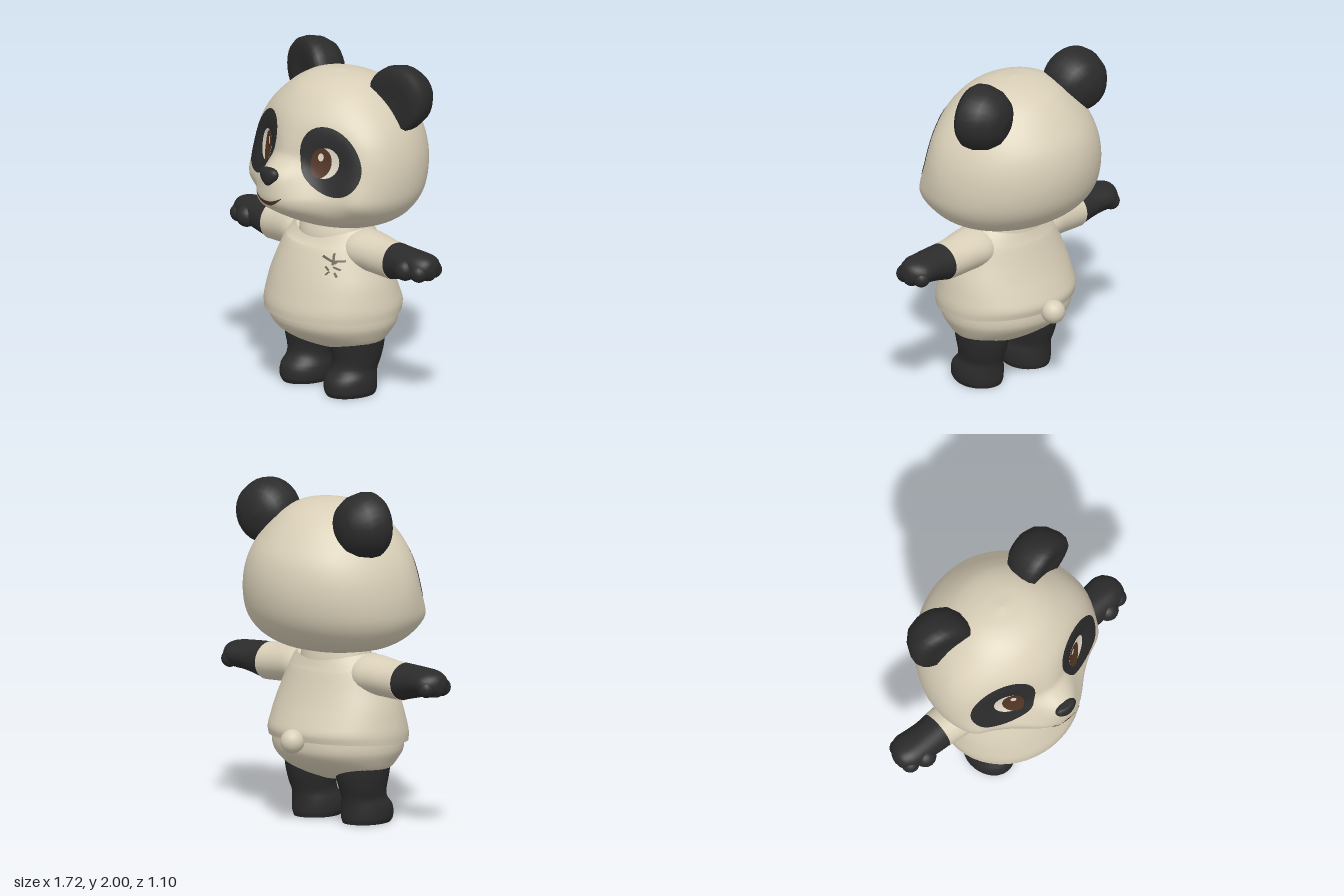
import * as THREE from 'three';

const material = (name, color, side = THREE.FrontSide) => {
  const m = new THREE.MeshStandardMaterial({ color, side });
  m.name = name;
  return m;
};

// Section rows: [position, centre, half width, z middle, z front, z back]
const HEAD = [
  [1.015, 0, 0.2, -0.02, 0.13, -0.19], [1.04, 0, 0.33, -0.02, 0.235, -0.29], [1.09, 0, 0.44, -0.02, 0.335, -0.385],
  [1.15, 0, 0.505, -0.01, 0.385, -0.455], [1.22, 0, 0.545, 0, 0.408, -0.505], [1.3, 0, 0.558, 0, 0.412, -0.535],
  [1.4, 0, 0.556, 0, 0.41, -0.55], [1.5, 0, 0.538, 0, 0.395, -0.545], [1.6, 0, 0.5, 0, 0.363, -0.517],
  [1.7, 0, 0.435, -0.02, 0.315, -0.455], [1.8, 0, 0.335, -0.04, 0.237, -0.37], [1.86, 0, 0.25, -0.05, 0.16, -0.29],
  [1.9, 0, 0.15, -0.06, 0.06, -0.18], [1.918, 0, 0.005, -0.06, -0.055, -0.065],
];
const SHIRT = [
  [0.472, 0, 0.438, 0, 0.39, -0.355], [0.53, 0, 0.441, 0, 0.39, -0.365], [0.6, 0, 0.432, 0, 0.372, -0.345],
  [0.7, 0, 0.41, 0, 0.34, -0.3], [0.8, 0, 0.372, 0, 0.3, -0.262], [0.9, 0, 0.335, 0, 0.25, -0.23],
  [0.96, 0, 0.3, 0, 0.22, -0.215], [1.01, 0, 0.255, 0, 0.195, -0.205],
];
const PELVIS = [
  [0.25, 0, 0.1, 0, 0.08, -0.08], [0.28, 0, 0.25, 0, 0.16, -0.15], [0.32, 0, 0.345, 0, 0.245, -0.22],
  [0.38, 0, 0.388, 0, 0.325, -0.3], [0.44, 0, 0.413, 0, 0.36, -0.338], [0.53, 0, 0.413, 0, 0.36, -0.338],
];
const NECK = [[0.88, 0, 0.24, 0, 0.18, -0.19], [0.96, 0, 0.24, 0, 0.172, -0.185], [1.05, 0, 0.22, 0, 0.13, -0.17]];
const LEG = [
  [0, 0.195, 0.125, 0.03, 0.2, -0.11], [0.03, 0.195, 0.139, 0.04, 0.215, -0.118], [0.1, 0.195, 0.139, 0.04, 0.208, -0.12],
  [0.15, 0.197, 0.125, 0.02, 0.165, -0.125], [0.2, 0.2, 0.132, 0, 0.152, -0.14],
  [0.27, 0.2, 0.147, 0, 0.162, -0.16], [0.34, 0.2, 0.158, 0, 0.172, -0.17],
];
const SLEEVE = [
  [0.18, 0.885, 0.105, 0, 0.13, -0.13], [0.27, 0.889, 0.118, 0, 0.146, -0.152], [0.36, 0.887, 0.116, 0, 0.13, -0.142],
  [0.46, 0.878, 0.112, 0, 0.112, -0.132], [0.54, 0.875, 0.112, 0, 0.104, -0.128],
];
const HAND = [
  [0.538, 0.876, 0.11, 0, 0.102, -0.126], [0.62, 0.884, 0.098, 0, 0.1, -0.12], [0.7, 0.89, 0.087, 0, 0.095, -0.126],
  [0.77, 0.89, 0.081, 0, 0.085, -0.13], [0.82, 0.89, 0.068, -0.01, 0.065, -0.1],
  [0.85, 0.887, 0.045, -0.01, 0.035, -0.06], [0.86, 0.885, 0.01, -0.01, 0, -0.02],
];

// Smooth interpolation between section rows
function blend(rows, i, u) {
  const p1 = rows[i], p2 = rows[i + 1];
  const p0 = rows[i - 1] || p1, p3 = rows[i + 2] || p2, h = p2[0] - p1[0];
  return p1.map((a, k) => {
    if (k === 0) return a + h * u;
    const b = p2[k], m = (b - p0[k]) / (p2[0] - p0[0]) * h, n = (p3[k] - a) / (p3[0] - p1[0]) * h;
    return a + u * (m + u * (3 * (b - a) - 2 * m - n + u * (2 * (a - b) + m + n)));
  });
}

// Front surface depth at (x, y)
function frontZ(rows, x, y, warp) {
  let i = 0;
  while (i < rows.length - 2 && y > rows[i + 1][0]) i++;
  const [, c, w, mid, front] = blend(rows, i, (y - rows[i][0]) / (rows[i + 1][0] - rows[i][0]));
  const p = new THREE.Vector3(x, y, mid + (front - mid) * Math.sqrt(Math.max(0, 1 - ((x - c) / w) ** 2)));
  if (warp) warp(p, 1);
  return p.z;
}

// Skin through oval sections, along y or (alongX) along x
function loft(rows, { alongX = false, side = 1, warp = null, segs = 32, sub = 3, caps = true } = {}) {
  const pos = [], idx = [], flip = alongX !== (side < 0), rings = (rows.length - 1) * sub + 1;
  const put = (t, a, z, facing) => {
    const p = alongX ? new THREE.Vector3(t, a, z) : new THREE.Vector3(a, t, z);
    if (warp) warp(p, facing);
    pos.push(p.x * side, p.y, p.z);
  };
  const tri = (a, b, c) => (flip ? idx.push(a, c, b) : idx.push(a, b, c));
  const ring = (r) => {
    const i = Math.min(Math.floor(r / sub), rows.length - 2);
    const [t, c, w, mid, front, back] = blend(rows, i, r / sub - i);
    for (let j = 0; j < segs; j++) {
      const a = j / segs * Math.PI * 2, cos = Math.cos(a);
      put(t, c + w * Math.sin(a), mid + (cos > 0 ? front - mid : mid - back) * cos, cos);
    }
  };
  for (let r = 0; r < rings; r++) ring(r);
  for (let r = 0; r < rings - 1; r++) for (let j = 0; j < segs; j++) {
    const a = r * segs + j, b = r * segs + (j + 1) % segs;
    tri(a, b, b + segs);
    tri(a, b + segs, a + segs);
  }
  if (caps) for (const end of [0, rings - 1]) {
    const start = pos.length / 3, row = rows[end ? rows.length - 1 : 0];
    ring(end);
    put(row[0], row[1], row[3], 0);
    for (let j = 0; j < segs; j++) {
      const a = start + j, b = start + (j + 1) % segs;
      end ? tri(start + segs, a, b) : tri(start + segs, b, a);
    }
  }
  const g = new THREE.BufferGeometry();
  g.setAttribute('position', new THREE.Float32BufferAttribute(pos, 3));
  g.setIndex(idx);
  g.computeVertexNormals();
  return g;
}

// Thin plate that hugs a surface; at(u, v) gives x and y over a grid
function plate(at, nu, nv, rows, lift, warp) {
  const g = new THREE.PlaneGeometry(1, 1, nu, nv), p = g.attributes.position, uv = g.attributes.uv;
  for (let i = 0; i < p.count; i++) {
    const [x, y] = at(uv.getX(i), uv.getY(i)), z = frontZ(rows, x, y, warp), k = 1 + lift / Math.hypot(x, z);
    p.setXYZ(i, x * k, y, z * k);
  }
  g.computeVertexNormals();
  return g;
}
const oval = (cx, cy, a, b, turn) => (u, v) => {
  const t = u * Math.PI * 2, p = a * v * Math.cos(t), q = b * v * Math.sin(t);
  return [cx + p * Math.cos(turn) - q * Math.sin(turn), cy + p * Math.sin(turn) + q * Math.cos(turn)];
};

// Face relief: flattened eye sockets, full cheeks and a muzzle that narrows upwards
const bump = (p, x, y, sx, sy) => Math.exp(-(((Math.abs(p.x) - x) / sx) ** 2) - ((p.y - y) / sy) ** 2);
const face = (p, facing) => {
  if (facing <= 0) return;
  if (p.z > 0) p.z *= 1 - 0.21 * bump(p, 0.29, 1.47, 0.17, 0.17) + 0.25 * bump(p, 0.52, 1.22, 0.09, 0.12);
  const width = 0.22 - 0.55 * Math.max(0, p.y - 1.25);
  p.z += 0.118 * Math.exp(-(Math.abs(p.x / width) ** 3) - ((p.y - 1.285) / 0.16) ** (p.y > 1.285 ? 6 : 4));
};
// Hem rises at the back, neckline dips at front and back
const shirtEdges = (p) => {
  if (p.y < 0.6) p.y += (0.6 - p.y) / 0.13 * Math.max(0, 0.39 - p.z) * 0.04;
  else if (p.y > 0.9) p.y -= (p.y - 0.9) / 0.11 * (p.z > 0 ? 0.07 : 0.04) * (p.z / 0.2) ** 2;
};

export function createModel() {
  const cream = material('cream fur', 0xd9cfb8), shirtMat = material('cream shirt', 0xd9cfb8, THREE.DoubleSide);
  const black = material('black fur', 0x2b2b2c);
  const patch = material('eye patch black', 0x2b2b2c, THREE.DoubleSide);
  const brown = material('brown', 0x523524, THREE.DoubleSide);
  const white = material('eye white', 0xe0d8c6, THREE.DoubleSide);
  const print = material('print grey', 0x625b4c, THREE.DoubleSide);
  const model = new THREE.Group();
  model.name = 'panda';
  const add = (name, geo, mat, x = 0, y = 0, z = 0) => {
    const m = new THREE.Mesh(geo, mat);
    m.name = name;
    m.position.set(x, y, z);
    model.add(m);
  };

  // Trunk and head
  add('head', loft(HEAD, { warp: face, segs: 72, sub: 5 }), cream);
  add('neck', loft(NECK), cream);
  add('shirt', loft(SHIRT, { warp: shirtEdges, segs: 48, caps: false }), shirtMat);
  add('pelvis', loft(PELVIS, { segs: 40 }), cream);
  add('tail', new THREE.SphereGeometry(0.071, 20, 14), cream, 0, 0.505, -0.384);

  // Nose: shallow, flat on top and narrower at the bottom
  const nose = new THREE.SphereGeometry(1, 24, 16), np = nose.attributes.position;
  for (let i = 0; i < np.count; i++) {
    const y = np.getY(i);
    np.setXYZ(i, np.getX(i) * 0.068 * (1 + 0.4 * y), Math.min(y, 0.8) * 0.06, np.getZ(i) * 0.038);
  }
  nose.computeVertexNormals();
  add('nose', nose, black, 0, 1.373, 0.508);

  // Smile, with a small dip under the nose
  const smile = (u, v) => {
    const s = 2 * u - 1;
    return [0.105 * s, 1.2 + 0.055 * s * s + v * 0.028 * (1 - 0.8 * s * s)];
  };
  add('mouth', plate(smile, 24, 2, HEAD, 0.006, face), brown);

  for (const side of [1, -1]) {
    const label = side > 0 ? 'left' : 'right';
    // Eyes
    const eye = (part, mat, lift, x, y, a, b, turn) =>
      add(label + part, plate(oval(side * x, y, a, b, side * turn), 36, 12, HEAD, lift, face), mat);
    eye('EyePatch', patch, 0.004, 0.287, 1.48, 0.22, 0.155, -0.92);
    eye('EyeWhite', white, 0.006, 0.252, 1.468, 0.08, 0.09, 0);
    eye('Iris', brown, 0.008, 0.228, 1.467, 0.056, 0.088, 0);
    eye('EyeGlint', white, 0.0095, 0.222, 1.5, 0.015, 0.024, 0);

    // Ears: flat front, domed back
    const profile = [[0, -0.245], [0.08, -0.238], [0.14, -0.205], [0.18, -0.145], [0.197, -0.07], [0.192, -0.02],
      [0.17, 0.01], [0.1, 0.008], [0, 0]].map(([r, h]) => new THREE.Vector2(r, h));
    const ear = new THREE.LatheGeometry(profile, 28).rotateX(Math.PI / 2).rotateY(side * 0.22);
    add(label + 'Ear', ear, black, side * 0.4, 1.803, -0.105);

    // Limbs
    add(label + 'Sleeve', loft(SLEEVE, { alongX: true, side }), cream);
    add(label + 'Hand', loft(HAND, { alongX: true, side }), black);
    const fingers = [[0.7, 0.875, 0.065, 0.066], [0.795, 0.868, 0.042, 0.054], [0.805, 0.866, -0.02, 0.053], [0.785, 0.868, -0.078, 0.052]];
    for (const [x, y, z, r] of fingers) add(label + 'Finger', new THREE.SphereGeometry(r, 16, 12), black, side * x, y, z);
    add(label + 'Leg', loft(LEG, { side }), black);
  }

  // Sprig of leaves printed on the chest: [x1, y1, x2, y2, width]
  const strokes = [
    [0.165, 0.87, 0.25, 0.835, 0.012], [0.22, 0.89, 0.235, 0.825, 0.012], [0.235, 0.845, 0.285, 0.85, 0.012],
    [0.2, 0.815, 0.225, 0.795, 0.01], [0.24, 0.815, 0.28, 0.8, 0.01], [0.215, 0.77, 0.23, 0.79, 0.01], [0.255, 0.785, 0.275, 0.76, 0.01],
  ];
  for (const [x1, y1, x2, y2, w] of strokes) {
    const l = Math.hypot(x2 - x1, y2 - y1), nx = -(y2 - y1) / l * w, ny = (x2 - x1) / l * w;
    const at = (u, v) => [x1 + (x2 - x1) * u + nx * (v - 0.5), y1 + (y2 - y1) * u + ny * (v - 0.5)];
    add('leafPrint', plate(at, 4, 1, SHIRT, 0.006), print);
  }
  return model;
}
